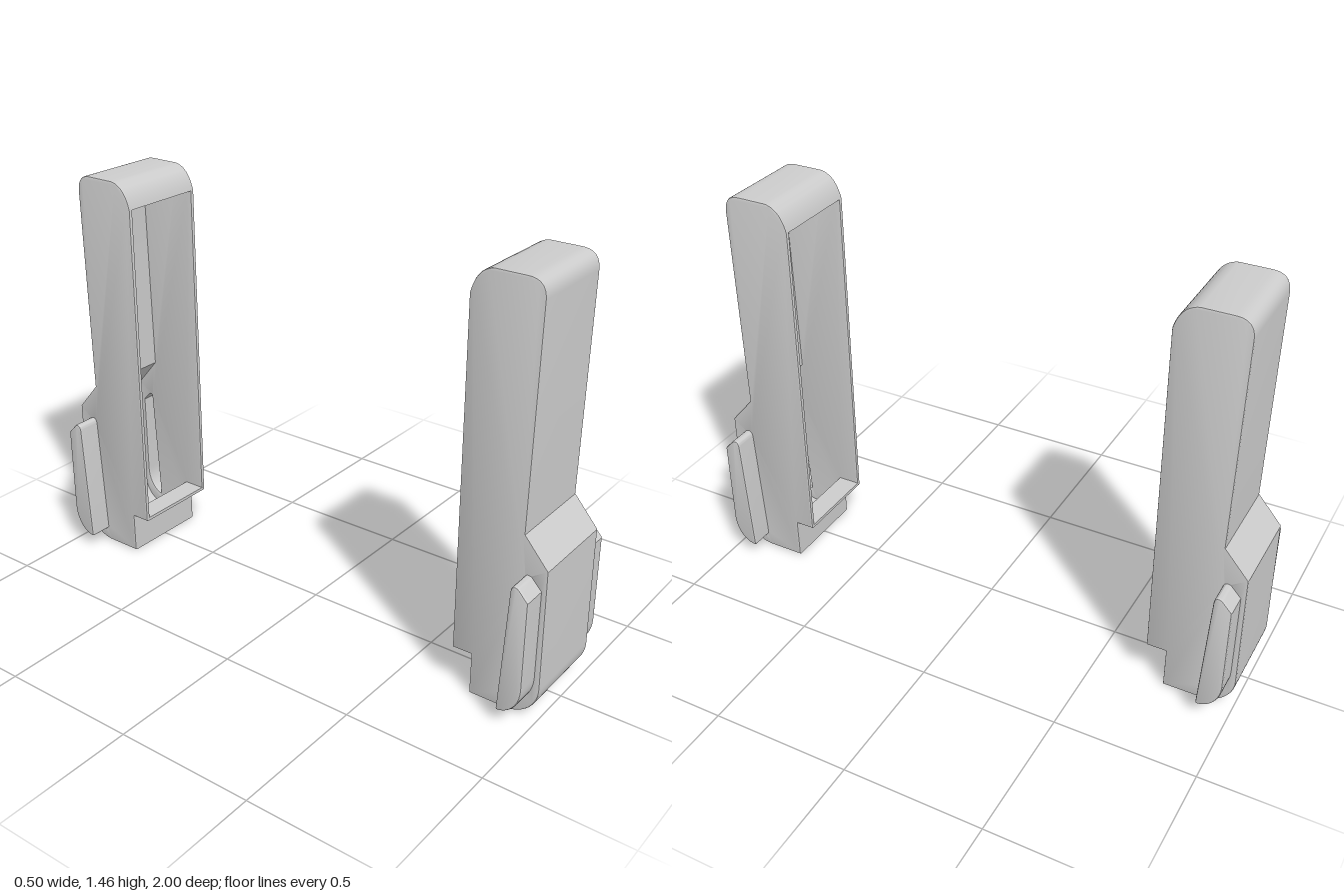
import * as THREE from 'three';
import { toCreasedNormals } from 'three/addons/utils/BufferGeometryUtils.js';

const WALL = 0.012, HALF = 0.165, BEVEL = 0.006;
const material = new THREE.MeshStandardMaterial({ color: 0xcccccc, side: THREE.DoubleSide });

// Moves an outline sideways by d (to the right of its direction), mitring the corners.
function offset(points, d, closed) {
  const n = points.length;
  const normal = (a, b) => new THREE.Vector2(b.y - a.y, a.x - b.x).normalize();
  return points.map((p, i) => {
    const prev = closed || i > 0 ? points[(i + n - 1) % n] : null;
    const next = closed || i < n - 1 ? points[(i + 1) % n] : null;
    const n1 = prev ? normal(prev, p) : normal(p, next);
    const n2 = next ? normal(p, next) : n1;
    return n1.clone().add(n2).multiplyScalar(d / (1 + n1.dot(n2))).add(p);
  });
}

// Extrudes a (z, y) outline across x, from x0 to x1.
function slab(name, outline, x0, x1, hole, bevel = 0) {
  const shape = new THREE.Shape(outline);
  if (hole) shape.holes.push(new THREE.Path(hole));
  const geo = new THREE.ExtrudeGeometry(shape, {
    depth: x1 - x0 - 2 * bevel, bevelEnabled: bevel > 0,
    bevelSize: bevel, bevelThickness: bevel, bevelOffset: -bevel, bevelSegments: 2,
  });
  geo.translate(0, 0, -x1 + bevel);
  geo.rotateY(-Math.PI / 2);
  const mesh = new THREE.Mesh(toCreasedNormals(geo, 0.5), material);
  mesh.name = name;
  return mesh;
}

// Side profile, clockwise from the bottom lip, round the outside, to the top lip.
function bodyProfile() {
  const s = new THREE.Path();
  s.moveTo(0.68, 0.15);
  s.lineTo(0.75, 0.15);
  s.lineTo(0.75, 0);
  s.lineTo(0.88, 0);
  s.absarc(0.88, 0.12, 0.12, -Math.PI / 2, 0, false);
  s.lineTo(0.997, 0.55);
  s.lineTo(0.911, 0.65);
  s.lineTo(0.921, 1.4);
  s.quadraticCurveTo(0.92, 1.46, 0.86, 1.46);
  s.lineTo(0.755, 1.46);
  s.quadraticCurveTo(0.695, 1.452, 0.675, 1.37);
  return s.getPoints(12);
}

// Outline of the side grip, slanted inside edge and rounded foot.
function gripProfile() {
  const s = new THREE.Path();
  s.moveTo(0.897, 0.05);
  s.bezierCurveTo(0.94, 0.05, 0.98, 0.095, 0.98, 0.16);
  s.lineTo(0.98, 0.475);
  s.lineTo(0.947, 0.51);
  s.quadraticCurveTo(0.94, 0.517, 0.93, 0.516);
  s.quadraticCurveTo(0.917, 0.513, 0.916, 0.49);
  s.lineTo(0.894, 0.055);
  return s.getPoints(10);
}

function createShell(name) {
  const shell = new THREE.Group();
  shell.name = name;
  const body = bodyProfile();
  const grip = gripProfile();
  const gripInner = offset(grip, -WALL, true);

  // Thin wrap-around wall, open towards the centre
  const inner = offset(body, -WALL, false).reverse();
  shell.add(slab('outerWall', [...body, ...inner], -HALF + 0.008, HALF - 0.008));

  for (const side of [1, -1]) {
    const span = (a, b) => (side > 0 ? [a, b] : [-b, -a]);
    // Side wall, with a slot into the hollow grip
    shell.add(slab('sideWall', body, ...span(HALF - 0.016, HALF), gripInner, BEVEL));
    // Hollow grip: rim and closed end
    shell.add(slab('gripRim', grip, ...span(HALF - 0.01, 0.241), gripInner));
    shell.add(slab('gripCap', grip, ...span(0.233, 0.25), null, 0.008));
  }
  return shell;
}

export function createModel() {
  const model = new THREE.Group();
  model.name = 'shellPair';
  const front = createShell('frontShell');
  const back = createShell('backShell');
  back.rotation.y = Math.PI;
  model.add(front, back);
  return model;
}
